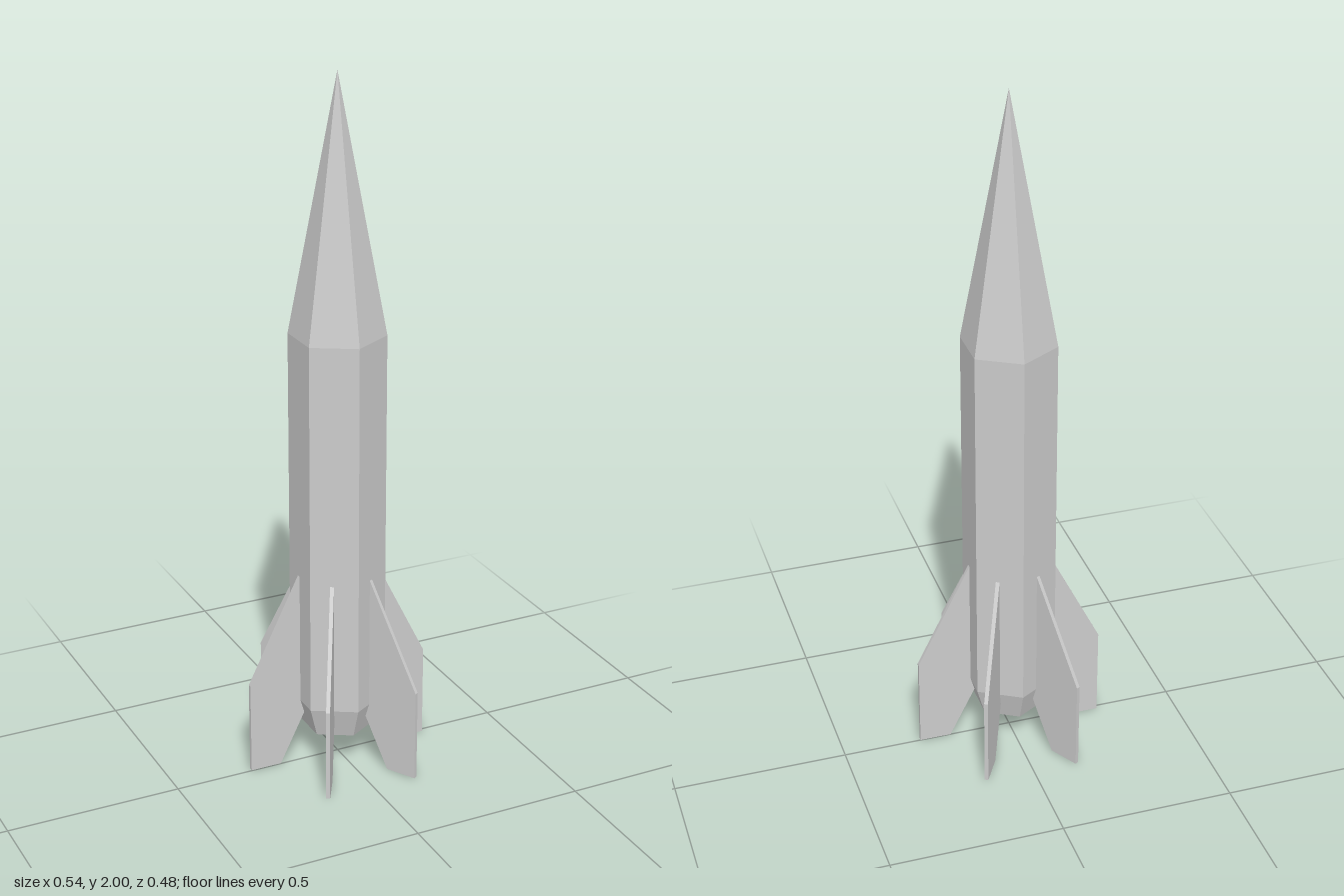
import * as THREE from 'three';

export function createModel() {
  const rocket = new THREE.Group();
  rocket.name = 'rocket';
  const material = new THREE.MeshStandardMaterial({ color: 0xcccccc, flatShading: true });

  const add = (name, geometry, parent = rocket) => {
    const mesh = new THREE.Mesh(geometry, material);
    mesh.name = name;
    parent.add(mesh);
    return mesh;
  };

  // Six-sided sections between two heights, with corners on the z axis
  const section = (name, rTop, rBottom, y0, y1, open) => {
    const geometry = rTop === 0
      ? new THREE.ConeGeometry(rBottom, y1 - y0, 6, 1, open)
      : new THREE.CylinderGeometry(rTop, rBottom, y1 - y0, 6, 1, open);
    add(name, geometry).position.set(0, (y0 + y1) / 2, -0.001);
  };
  section('noseCone', 0, 0.135, 1.28, 2, true);
  section('body', 0.135, 0.135, 0.19, 1.28, true);
  section('tailTaper', 0.135, 0.105, 0.1, 0.19, false);

  // Fin outline: x is the distance from the axis, y the height
  const outline = new THREE.Shape([
    [0.105, 0.15], [0.18, 0], [0.272, 0], [0.272, 0.27], [0.117, 0.58], [0.117, 0.19],
  ].map(([x, y]) => new THREE.Vector2(x, y)));
  const finGeometry = new THREE.ExtrudeGeometry(outline, { depth: 0.011, bevelEnabled: false });
  finGeometry.translate(0, 0, 0.001);

  // One fin on the middle of each side, set slightly off the radial line
  const fins = new THREE.Group();
  fins.name = 'fins';
  fins.position.z = -0.001;
  for (let i = 0; i < 6; i++) {
    add('fin' + (i + 1), finGeometry, fins).rotation.y = i * Math.PI / 3;
  }
  rocket.add(fins);

  return rocket;
}
